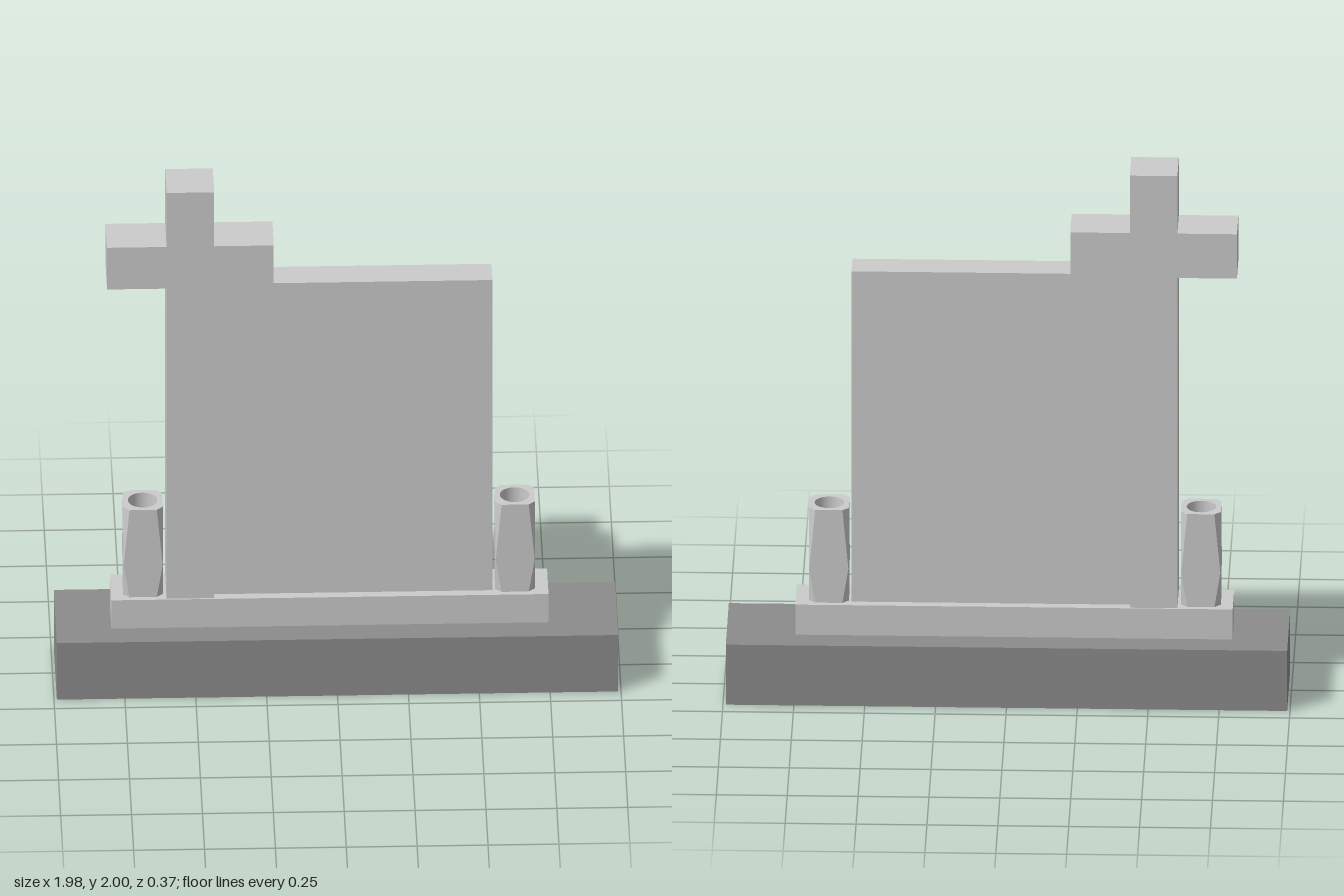
import * as THREE from 'three';

const stone = new THREE.MeshStandardMaterial({ color: 0xcccccc, flatShading: true });
const smoothStone = new THREE.MeshStandardMaterial({ color: 0xcccccc, side: THREE.BackSide });
const darkStone = new THREE.MeshStandardMaterial({ color: 0x8c8c8c, flatShading: true });

function add(parent, name, geometry, material = stone) {
  const mesh = new THREE.Mesh(geometry, material);
  mesh.name = name;
  parent.add(mesh);
  return mesh;
}

// Box given by its limits on each axis
function block(x0, x1, y0, y1, z0, z1) {
  return new THREE.BoxGeometry(x1 - x0, y1 - y0, z1 - z0)
    .translate((x0 + x1) / 2, (y0 + y1) / 2, (z0 + z1) / 2);
}

// Square with cut corners, counter-clockwise
function cutSquare(half, cut) {
  const points = [];
  for (let i = 0; i < 4; i++) {
    for (const v of [-1, 1]) {
      const p = new THREE.Vector2(half, v * (half - cut));
      points.push(p.rotateAround(new THREE.Vector2(), i * Math.PI / 2));
    }
  }
  return points;
}

// Walls between stacked cut-square sections [height, cut]
function facetedWalls(half, sections) {
  const positions = [], index = [];
  sections.forEach(([y, cut], row) => {
    cutSquare(half, cut).forEach((p) => positions.push(p.x, y, -p.y));
    if (row === 0) return;
    for (let i = 0; i < 8; i++) {
      const j = (i + 1) % 8, lo = (row - 1) * 8, hi = row * 8;
      index.push(lo + i, lo + j, hi + j, lo + i, hi + j, hi + i);
    }
  });
  const geometry = new THREE.BufferGeometry();
  geometry.setAttribute('position', new THREE.Float32BufferAttribute(positions, 3));
  geometry.setIndex(index);
  const flat = geometry.toNonIndexed();
  flat.computeVertexNormals();
  return flat;
}

function makeVase(name) {
  const vase = new THREE.Group();
  vase.name = name;
  const half = 0.07, height = 0.355, bore = 0.052, depth = 0.1, cut = 0.022;

  add(vase, 'vaseWalls', facetedWalls(half, [[0, cut], [0.13, 0.001], [height, cut]]));

  // Rim with a round opening
  const rim = new THREE.Shape(cutSquare(half, cut));
  rim.holes.push(new THREE.Path().absarc(0, 0, bore, 0, Math.PI * 2, true));
  add(vase, 'vaseRim', new THREE.ShapeGeometry(rim, 16).rotateX(-Math.PI / 2).translate(0, height, 0));

  // Bore and its floor
  add(vase, 'vaseBore', new THREE.CylinderGeometry(bore, bore, depth, 32, 1, true)
    .translate(0, height - depth / 2, 0), smoothStone);
  add(vase, 'vaseFloor', new THREE.CircleGeometry(bore, 32).rotateX(-Math.PI / 2)
    .translate(0, height - depth, 0));

  // Underside
  add(vase, 'vaseUnderside', new THREE.ShapeGeometry(new THREE.Shape(cutSquare(half, cut)))
    .rotateX(Math.PI / 2));
  return vase;
}

export function createModel() {
  const model = new THREE.Group();
  model.name = 'memorial';

  // Foundation and plinth
  add(model, 'foundation', block(-0.99, 0.99, 0, 0.23, -0.187, 0.187), darkStone);
  add(model, 'plinth', block(-0.795, 0.747, 0.23, 0.345, -0.09, 0.09));

  // Upright slab beside the cross
  add(model, 'slab', block(-0.432, 0.55, 0.345, 1.61, -0.057, 0.057));

  // Cross in one piece
  const outline = [
    [-0.6, 0.345], [-0.432, 0.345], [-0.432, 1.61], [-0.222, 1.61], [-0.222, 1.78], [-0.432, 1.78],
    [-0.432, 2], [-0.6, 2], [-0.6, 1.78], [-0.81, 1.78], [-0.81, 1.61], [-0.6, 1.61],
  ].map(([x, y]) => new THREE.Vector2(x, y));
  add(model, 'cross', new THREE.ExtrudeGeometry(new THREE.Shape(outline), { depth: 0.168, bevelEnabled: false })
    .translate(0, 0, -0.084));

  // Vases at both ends of the plinth
  for (const [name, x] of [['rightVase', -0.682], ['leftVase', 0.63]]) {
    const vase = makeVase(name);
    vase.position.set(x, 0.345, 0);
    model.add(vase);
  }
  return model;
}
